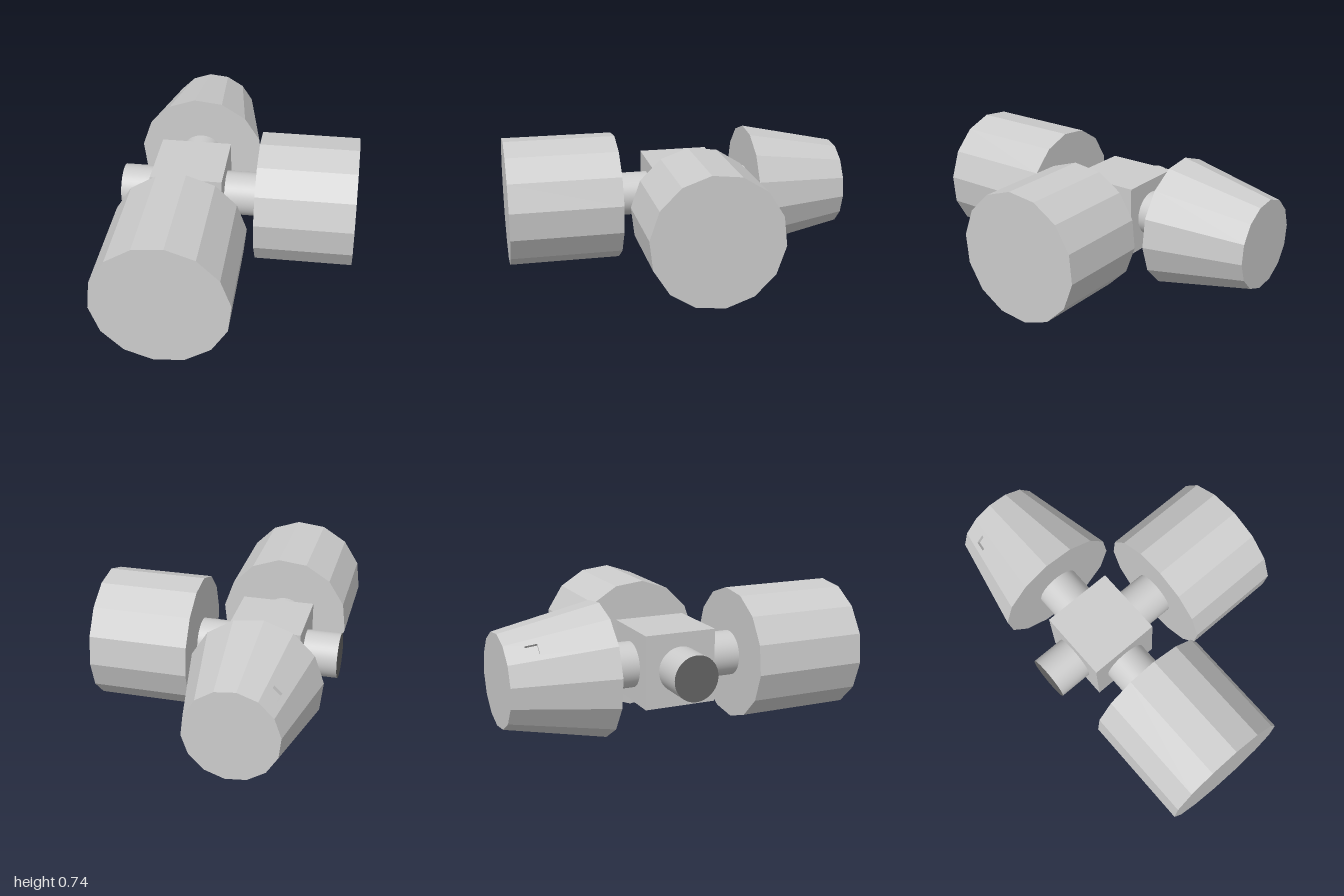
import * as THREE from 'three';

const SIDES = 14, STEP = Math.PI * 2 / SIDES, TURN = STEP / 4;
const CX = -0.28, CY = 0.374, CZ = -0.045; // point where the pipes cross
const R = 0.372, TIP = 0.256; // drum radius, narrow end of the taper

export function createModel() {
  const model = new THREE.Group();
  const grey = new THREE.MeshStandardMaterial({ color: 0xcccccc });
  grey.name = 'light grey';
  const dark = new THREE.MeshStandardMaterial({ color: 0x666666 });
  dark.name = 'dark grey';

  const add = (name, geometry, material = grey, parent = model) => {
    const mesh = new THREE.Mesh(geometry, material);
    mesh.name = name;
    parent.add(mesh);
    return mesh;
  };
  // flat facets
  const flat = (geometry) => {
    const g = geometry.index ? geometry.toNonIndexed() : geometry;
    g.computeVertexNormals();
    return g;
  };
  // cylinders lying along x or z between two positions
  const alongX = (g, a, b) => g.rotateZ(-Math.PI / 2).translate((a + b) / 2, CY, CZ);
  const alongZ = (g, a, b) => g.rotateX(Math.PI / 2).translate(CX, CY, (a + b) / 2);
  const cylinder = (r, length, sides, start = 0) =>
    new THREE.CylinderGeometry(r, r, length, sides, 1, false, start);

  // central block and crossing pipes
  add('hubBlock', new THREE.BoxGeometry(0.408, 0.408, 0.408).translate(CX, CY, CZ));
  add('crossPipe', alongX(cylinder(0.127, 0.797, 48), -0.677, 0.12), [grey, grey, dark]);
  add('longPipe', alongZ(cylinder(0.127, 0.8, 48), -0.445, 0.355));

  // two faceted drums
  add('sideDrum', flat(alongX(cylinder(R, 0.557, SIDES, -TURN), 0.12, 0.677)));
  add('frontDrum', flat(alongZ(cylinder(R, 0.645, SIDES, Math.PI / 2 + TURN), 0.355, 1)));

  // tapered rear drum: thirteen wall facets, two caps and one facet with a pocket
  const taper = new THREE.Group();
  taper.name = 'taperedDrum';
  taper.position.set(CX, CY, 0);
  model.add(taper);
  const near = -0.445, far = -1;
  const wall = new THREE.CylinderGeometry(TIP, R, near - far, SIDES - 1, 1, true,
    -Math.PI / 4 + STEP / 2, Math.PI * 2 - STEP);
  wall.rotateX(-Math.PI / 2).translate(0, 0, (near + far) / 2);
  add('taperWall', flat(wall), grey, taper);
  add('wideCap', new THREE.CircleGeometry(R, SIDES, -TURN).translate(0, 0, near), grey, taper);
  add('narrowCap', new THREE.CircleGeometry(TIP, SIDES, TURN).rotateY(Math.PI)
    .translate(0, 0, far), grey, taper);

  // frame of the pocketed facet: x across, y towards the narrow end, z outward
  const half = STEP / 2;
  const out = new THREE.Vector3(-1, 1, 0).normalize();
  const low = out.clone().multiplyScalar(R * Math.cos(half)).setZ(near);
  const high = out.clone().multiplyScalar(TIP * Math.cos(half)).setZ(far);
  const length = low.distanceTo(high);
  const yAxis = high.clone().sub(low).normalize();
  const xAxis = yAxis.clone().cross(out).normalize();
  const zAxis = xAxis.clone().cross(yAxis);
  const facet = new THREE.Group();
  facet.name = 'pocketFacet';
  facet.quaternion.setFromRotationMatrix(new THREE.Matrix4().makeBasis(xAxis, yAxis, zAxis));
  facet.position.copy(low).lerp(high, 0.5);
  taper.add(facet);

  const outline = (w1, w2, y1, y2) => [[-w1, y1], [w1, y1], [w2, y2], [-w2, y2]]
    .map(([x, y]) => new THREE.Vector2(x, y));
  const pw = 0.03, ph = 0.033, py = length * 0.257, depth = 0.018;
  const panel = new THREE.Shape(
    outline(R * Math.sin(half), TIP * Math.sin(half), -length / 2, length / 2));
  panel.holes.push(new THREE.Path(outline(pw, pw, py - ph, py + ph).reverse()));
  add('facetPanel', new THREE.ShapeGeometry(panel), grey, facet);

  // pocket: an inside-out box with its mouth left open
  const pocket = new THREE.BoxGeometry(pw * 2, ph * 2, depth);
  pocket.setIndex(Array.from(pocket.index.array).slice(0, 30));
  pocket.clearGroups();
  pocket.scale(1, 1, -1).translate(0, py, -depth / 2);
  add('pocket', flat(pocket), grey, facet);

  return model;
}
